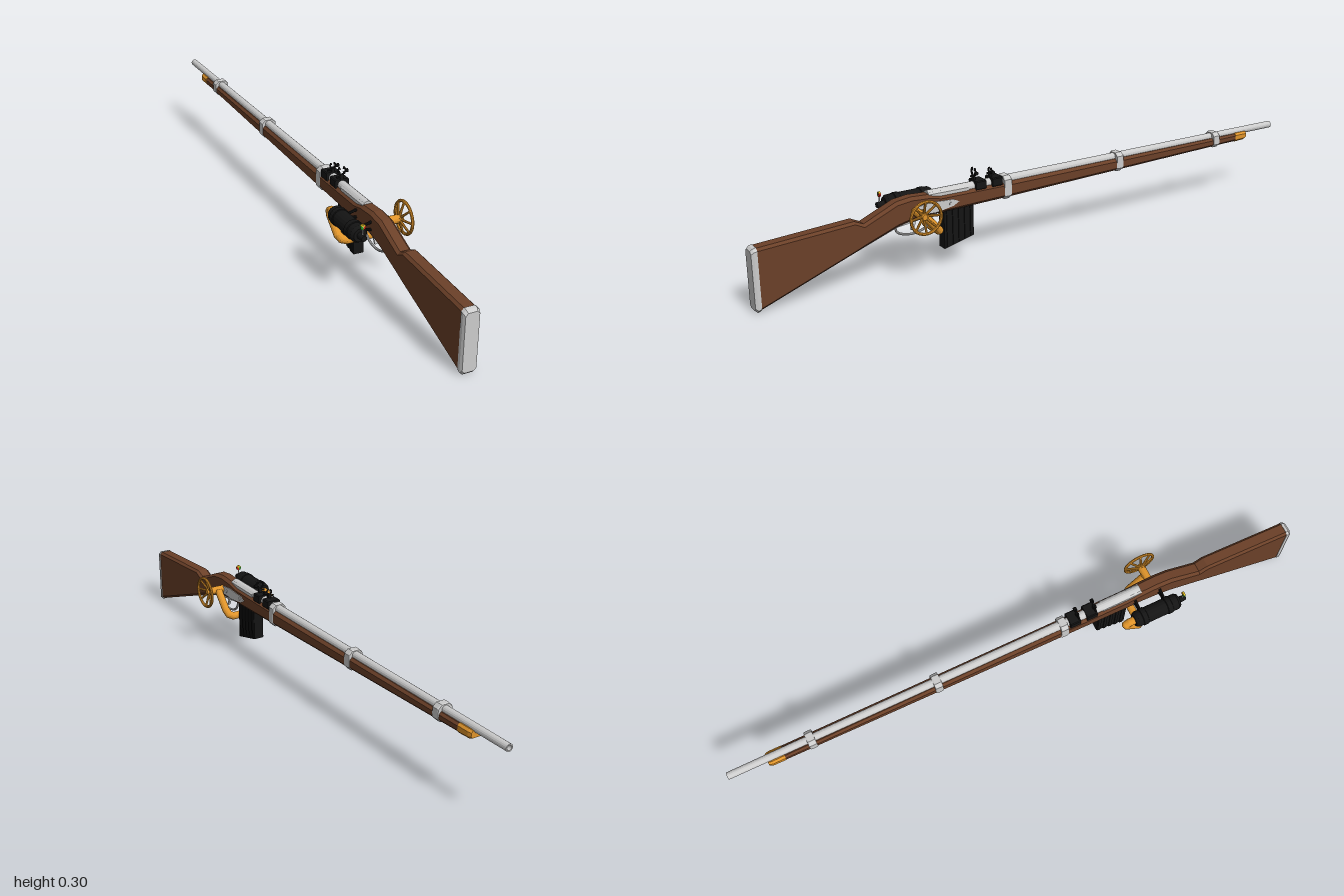
import * as THREE from 'three';

const CX = 0.005; // centre line of the rifle
const mat = (color) => new THREE.MeshStandardMaterial({ color, flatShading: true, side: THREE.DoubleSide });
const V = (x, y, z) => new THREE.Vector3(x, y, z);

// Chamfered octagon sections [z, bottom, top, halfWidth, chamfer], ordered from the butt forward
function loft(sections) {
  const rings = sections.map(([z, y0, y1, w, c]) => [
    [w, y0 + c], [w, y1 - c], [w - c, y1], [c - w, y1], [-w, y1 - c], [-w, y0 + c], [c - w, y0], [w - c, y0],
  ].map(([x, y]) => [CX + x, y, z]));
  const p = [];
  const tri = (a, b, c) => p.push(...a, ...b, ...c);
  for (let i = 0; i < rings.length - 1; i++) {
    const a = rings[i], b = rings[i + 1];
    for (let k = 0; k < 8; k++) {
      const n = (k + 1) % 8;
      tri(a[k], b[k], b[n]);
      tri(a[k], b[n], a[n]);
    }
  }
  const first = rings[0], last = rings[rings.length - 1];
  for (let k = 1; k < 7; k++) {
    tri(first[0], first[k], first[k + 1]);
    tri(last[0], last[k + 1], last[k]);
  }
  const g = new THREE.BufferGeometry();
  g.setAttribute('position', new THREE.Float32BufferAttribute(p, 3));
  g.computeVertexNormals();
  return g;
}

// Side profile of [z, y] points, extruded from x0 to x1
function sidePlate(points, x0, x1) {
  const shape = new THREE.Shape(points.map(([z, y]) => new THREE.Vector2(z, y)));
  const g = new THREE.ExtrudeGeometry(shape, { depth: x1 - x0, bevelEnabled: false });
  return g.rotateY(-Math.PI / 2).translate(x1, 0, 0);
}

// Straight rod between two points
function rod(a, b, r0, r1 = r0, sides = 10) {
  const d = b.clone().sub(a);
  const g = new THREE.CylinderGeometry(r1, r0, d.length(), sides);
  g.applyQuaternion(new THREE.Quaternion().setFromUnitVectors(V(0, 1, 0), d.normalize()));
  const m = a.clone().add(b).multiplyScalar(0.5);
  return g.translate(m.x, m.y, m.z);
}

// Profile of [z, radius] turned about a line along z
function turned(points, x, y, sides) {
  const g = new THREE.LatheGeometry(points.map(([z, r]) => new THREE.Vector2(r, -z)), sides);
  return g.rotateX(-Math.PI / 2).translate(x, y, 0);
}

export function createModel() {
  const model = new THREE.Group();
  const steel = mat(0xcccccc), wood = mat(0x6b4028), brass = mat(0xe0942a), black = mat(0x141414);
  const add = (name, geometry, material, parent = model) => {
    const m = new THREE.Mesh(geometry, material);
    m.name = name;
    parent.add(m);
    return m;
  };
  const group = (name) => {
    const g = new THREE.Group();
    g.name = name;
    model.add(g);
    return g;
  };

  // Wooden stock with steel butt plate and brass fore-end cap
  add('stock', loft([
    [0.985, 0.005, 0.197, 0.024, 0.008], [0.68, 0.116, 0.214, 0.024, 0.008],
    [0.65, 0.127, 0.2, 0.024, 0.009], [0.54, 0.166, 0.247, 0.024, 0.01],
    [0.49, 0.177, 0.253, 0.024, 0.01], [0.43, 0.183, 0.249, 0.024, 0.01],
    [0.39, 0.183, 0.238, 0.024, 0.008], [0.16, 0.186, 0.238, 0.024, 0.01],
    [-0.82, 0.211, 0.238, 0.022, 0.007],
  ]), wood);
  add('buttPlate', loft([
    [1, 0.008, 0.19, 0.022, 0.008], [0.992, 0, 0.197, 0.0255, 0.009], [0.982, 0.004, 0.199, 0.0255, 0.009],
  ]), steel);
  add('foreEndCap', loft([
    [-0.818, 0.209, 0.24, 0.0225, 0.007], [-0.86, 0.211, 0.24, 0.0225, 0.007], [-0.872, 0.215, 0.238, 0.019, 0.006],
  ]), brass);

  // Hollow barrel
  add('barrel', turned([
    [0.43, 0], [0.43, 0.016], [0.16, 0.0145], [-0.72, 0.0125], [-1, 0.012], [-1, 0.008], [-0.9, 0.008], [-0.9, 0],
  ], CX, 0.242, 16), steel);
  add('breechBlock', loft([[0.43, 0.225, 0.254, 0.017, 0.006], [0.29, 0.225, 0.252, 0.017, 0.006]]), steel);

  // Barrel bands with raised lips
  for (const [z, y0] of [[0.15, 0.181], [-0.295, 0.193], [-0.725, 0.204]]) {
    add('barrelBand', loft([
      [z + 0.013, y0 + 0.002, 0.257, 0.0248, 0.012], [z + 0.009, y0, 0.259, 0.0258, 0.012],
      [z - 0.009, y0, 0.259, 0.0258, 0.012], [z - 0.013, y0 + 0.002, 0.257, 0.0248, 0.012],
    ]), steel);
  }

  // Lock plate on the left flank
  add('lockPlate', sidePlate([
    [0.5, 0.203], [0.47, 0.193], [0.41, 0.19], [0.35, 0.2], [0.33, 0.211], [0.35, 0.221], [0.43, 0.226], [0.48, 0.22],
  ], 0.026, 0.0315), steel);
  for (const z of [0.36, 0.45]) add('lockScrew', rod(V(0.03, 0.209, z), V(0.034, 0.209, z), 0.005), steel);

  // Trigger, guard and its tang
  const guard = new THREE.CatmullRomCurve3([
    V(CX, 0.166, 0.54), V(CX, 0.145, 0.535), V(CX, 0.131, 0.505), V(CX, 0.13, 0.465), V(CX, 0.145, 0.43), V(CX, 0.18, 0.41),
  ]);
  add('triggerGuard', new THREE.TubeGeometry(guard, 20, 0.004, 8), steel);
  add('guardTang', sidePlate([[0.67, 0.117], [0.54, 0.163], [0.4, 0.18], [0.4, 0.187], [0.54, 0.17], [0.67, 0.124]], CX - 0.012, CX + 0.012), steel);
  add('trigger', sidePlate([[0.485, 0.18], [0.48, 0.16], [0.488, 0.143], [0.482, 0.142], [0.472, 0.16], [0.473, 0.18]], CX - 0.004, CX + 0.004), steel);

  // Ribbed magazine
  const magazine = group('magazine');
  add('magazineBody', sidePlate([[0.38, 0.06], [0.38, 0.19], [0.275, 0.19], [0.275, 0.086]], CX - 0.017, CX + 0.017), black, magazine);
  for (let i = 0; i < 5; i++) {
    const z = 0.372 - i * 0.021, y = 0.064 + i * 0.0052;
    add('magazineRib', sidePlate([[z, y], [z, 0.186], [z - 0.01, 0.186], [z - 0.01, y + 0.0025]], CX - 0.02, CX + 0.02), black, magazine);
  }

  // Valve wheel with dished spokes
  const wheel = group('handWheel');
  const WY = 0.208, WZ = 0.482;
  add('rim', new THREE.TorusGeometry(0.051, 0.005, 8, 28).rotateY(Math.PI / 2).translate(0.099, WY, WZ), brass, wheel);
  add('hub', rod(V(0.076, WY, WZ), V(0.094, WY, WZ), 0.014, 0.009, 12), brass, wheel);
  for (let i = 0; i < 8; i++) {
    const a = (i * Math.PI) / 4, c = Math.cos(a), s = Math.sin(a);
    add('spoke', rod(V(0.084, WY + c * 0.008, WZ + s * 0.008), V(0.098, WY + c * 0.05, WZ + s * 0.05), 0.0045, 0.0035, 8), brass, wheel);
  }
  add('axle', rod(V(0.02, WY, WZ), V(0.08, WY, WZ), 0.0135, 0.0135, 14), brass, wheel);

  // Brass pipe passing under the stock to the tank
  const pipe = group('pipe');
  const path = [
    V(0.05, 0.208, 0.475), V(0.05, 0.152, 0.425), V(0.045, 0.137, 0.411), V(0.032, 0.131, 0.405),
    V(-0.05, 0.131, 0.405), V(-0.065, 0.136, 0.402), V(-0.074, 0.148, 0.394),
    V(-0.075, 0.192, 0.348), V(-0.075, 0.205, 0.343), V(-0.075, 0.212, 0.355), V(-0.075, 0.212, 0.38),
  ];
  path.slice(1).forEach((p, i) => {
    add('pipeSection', rod(path[i], p, 0.0132, 0.0132, 14), brass, pipe);
    add('pipeJoint', new THREE.SphereGeometry(0.0134, 14, 8).translate(p.x, p.y, p.z), brass, pipe);
  });

  // Gas tank with end valve, straps and brackets
  const tank = group('tank');
  const TX = -0.075, TY = 0.212;
  add('tankBody', turned([
    [0.56, 0], [0.56, 0.009], [0.535, 0.011], [0.535, 0.021], [0.526, 0.027], [0.382, 0.027], [0.372, 0.021], [0.372, 0],
  ], TX, TY, 18), black, tank);
  for (const z of [0.405, 0.495]) {
    add('strap', turned([[z + 0.01, 0.0265], [z + 0.008, 0.0295], [z - 0.008, 0.0295], [z - 0.01, 0.0265]], TX, TY, 18), black, tank);
    for (const s of [-1, 1]) add('bracket', rod(V(-0.05, TY + s * 0.005, z), V(-0.015, TY + s * 0.013, z), 0.0045, 0.0045, 8), black, tank);
  }

  // Pressure gauge with three coloured sectors
  const gauge = group('gauge');
  add('gaugeStem', rod(V(TX, 0.215, 0.55), V(TX, 0.243, 0.55), 0.0022), steel, gauge);
  [0xd02818, 0xe8c020, 0x28a428].forEach((color, i) => {
    const g = new THREE.CylinderGeometry(0.0085, 0.0085, 0.006, 6, 1, false, (i * Math.PI * 2) / 3, (Math.PI * 2) / 3);
    add('gaugeSector', g.rotateX(Math.PI / 2).translate(TX, 0.246, 0.55), mat(color), gauge);
  });
  add('needle', new THREE.BoxGeometry(0.0015, 0.007, 0.001).translate(TX, 0.248, 0.554), steel, gauge);

  // Ring sights clamped to the barrel
  for (const [name, z, top, r] of [['rearSight', 0.248, 0.288, 0.0125], ['frontSight', 0.188, 0.281, 0.009]]) {
    const sight = group(name), zr = z + 0.014;
    add('clamp', loft([[z + 0.018, 0.232, 0.261, 0.0235, 0.003], [z - 0.018, 0.232, 0.261, 0.0235, 0.003]]), black, sight);
    add('stem', new THREE.BoxGeometry(0.01, top - r - 0.255, 0.008).translate(CX, (top - r + 0.257) / 2, zr), black, sight);
    const gap = 0.5;
    const ring = new THREE.TorusGeometry(r, 0.003, 6, 18, Math.PI * 2 - gap * 2).rotateZ(Math.PI / 2 + gap);
    add('ring', ring.translate(CX, top, zr), black, sight);
    for (let i = 0; i < 4; i++) {
      const a = Math.PI / 4 + (i * Math.PI) / 2, c = Math.cos(a), s = Math.sin(a);
      add('prong', rod(V(CX + c * r * 0.5, top + s * r * 0.5, zr), V(CX + c * r * 1.25, top + s * r * 1.25, zr), 0.0018, 0.0025, 6), black, sight);
    }
    add('adjuster', rod(V(CX, 0.268, zr), V(-0.012, 0.268, zr), 0.0025, 0.0035, 8), black, sight);
    add('sideKnob', rod(V(CX + r, top - 0.002, zr), V(0.026, top - 0.002, zr), 0.006, 0.006, 8), black, sight);
  }
  return model;
}
